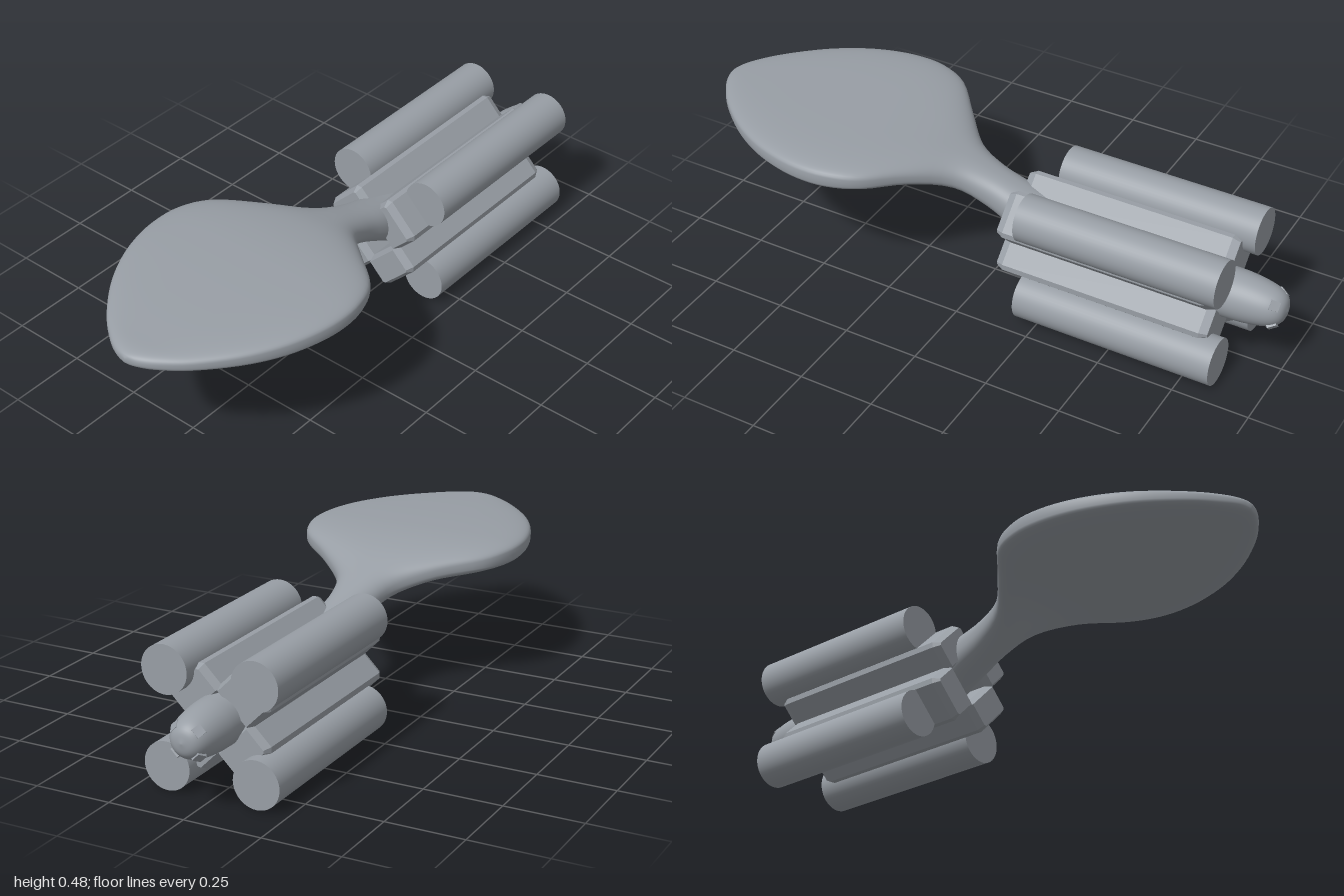
import * as THREE from 'three';

const MAT = new THREE.MeshStandardMaterial({ color: 0x989ea5, side: THREE.DoubleSide });
const AXIS_Y = 0.225; // height of the long body axis

// Body stations from the paddle tip to the tail: z, half width, bottom y, top y, squareness
const STATIONS = [
  [1.0, 0.005, 0.43, 0.447, 2], [0.99, 0.045, 0.421, 0.458, 2.3], [0.96, 0.097, 0.412, 0.466, 2.7],
  [0.9, 0.17, 0.407, 0.47, 3.2], [0.8, 0.256, 0.401, 0.476, 3.6], [0.7, 0.316, 0.396, 0.48, 3.9],
  [0.6, 0.354, 0.393, 0.483, 4], [0.5, 0.372, 0.39, 0.484, 4], [0.4, 0.365, 0.388, 0.483, 3.9],
  [0.3, 0.32, 0.384, 0.476, 3.4], [0.2, 0.207, 0.366, 0.46, 2.8], [0.1, 0.103, 0.323, 0.43, 2.4],
  [0, 0.074, 0.274, 0.395, 2.3], [-0.1, 0.077, 0.221, 0.364, 2.3], [-0.2, 0.08, 0.165, 0.338, 2.2],
  [-0.32, 0.084, 0.138, 0.314, 2], [-0.6, 0.084, 0.14, 0.31, 2], [-0.8, 0.08, 0.15, 0.309, 2],
  [-0.87, 0.077, 0.152, 0.307, 2], [-0.93, 0.069, 0.16, 0.298, 2], [-0.97, 0.056, 0.173, 0.285, 2],
  [-0.992, 0.035, 0.194, 0.264, 2], [-1.0, 0.003, 0.226, 0.232, 2],
];

// Smooth loft of superellipse sections through the stations
function loftBody() {
  const widths = new THREE.CatmullRomCurve3(
    STATIONS.map(([z, w, , , n]) => new THREE.Vector3(z, w, n)), false, 'catmullrom', 0.5);
  const heights = new THREE.CatmullRomCurve3(
    STATIONS.map(([, , b, t]) => new THREE.Vector3(b, t, 0)), false, 'catmullrom', 0.5);
  const rows = (STATIONS.length - 1) * 4, sides = 64;
  const pos = [], index = [];
  const power = (v, e) => Math.sign(v) * Math.pow(Math.abs(v), e);
  for (let i = 0; i <= rows; i++) {
    const { x: z, y: w, z: n } = widths.getPoint(i / rows);
    const { x: low, y: high } = heights.getPoint(i / rows);
    for (let j = 0; j < sides; j++) {
      const a = (j / sides) * Math.PI * 2;
      pos.push(w * power(Math.cos(a), 2 / n),
        (low + high) / 2 + (high - low) / 2 * power(Math.sin(a), 2 / n), z);
    }
  }
  for (let i = 0; i < rows; i++) {
    for (let j = 0; j < sides; j++) {
      const a = i * sides + j, b = i * sides + (j + 1) % sides;
      index.push(a, a + sides, b, b, a + sides, b + sides);
    }
  }
  // close both tips
  for (let j = 1; j < sides - 1; j++) {
    const e = rows * sides;
    index.push(0, j, j + 1, e, e + j + 1, e + j);
  }
  const g = new THREE.BufferGeometry();
  g.setAttribute('position', new THREE.Float32BufferAttribute(pos, 3));
  g.setIndex(index);
  g.computeVertexNormals();
  return g;
}

// Chamfered bar, running along z, pointing outward along +x
function barGeometry() {
  const bevel = 0.012, taper = 0.025, inner = 0.07, outer = 0.153, half = 0.065, cut = 0.006;
  const s = new THREE.Shape([
    [inner, -half], [outer - cut, -half], [outer, -half + cut],
    [outer, half - cut], [outer - cut, half], [inner, half],
  ].map(([x, y]) => new THREE.Vector2(x, y)));
  const g = new THREE.ExtrudeGeometry(s, {
    depth: 0.72 - 2 * taper, bevelEnabled: true, bevelSegments: 1, bevelSize: bevel, bevelThickness: taper,
  });
  g.translate(0, 0, -0.81 + taper);
  return g;
}

export function createModel() {
  const root = new THREE.Group();
  root.name = 'paddleCraft';
  const add = (parent, geometry, name) => {
    const m = new THREE.Mesh(geometry, MAT);
    m.name = name;
    parent.add(m);
    return m;
  };

  // Paddle, neck, core and rounded tail in one smooth surface
  add(root, loftBody(), 'paddleBody');

  // Four diagonal units, each a bar, a cylinder and a small tail tab
  const bar = barGeometry();
  const tube = new THREE.CylinderGeometry(0.076, 0.076, 0.665, 48).rotateX(Math.PI / 2);
  const tab = new THREE.BoxGeometry(0.014, 0.03, 0.03);
  for (let k = 0; k < 4; k++) {
    const unit = new THREE.Group();
    unit.name = 'boosterUnit' + (k + 1);
    unit.position.y = AXIS_Y;
    unit.rotation.z = Math.PI / 4 + k * Math.PI / 2;
    add(unit, bar, 'bar');
    add(unit, tube, 'cylinder').position.set(0.209, 0, -0.5175);
    const t = add(unit, tab, 'tailTab');
    t.position.set(0.052, 0, -0.968);
    t.rotation.y = 0.6;
    root.add(unit);
  }
  return root;
}
